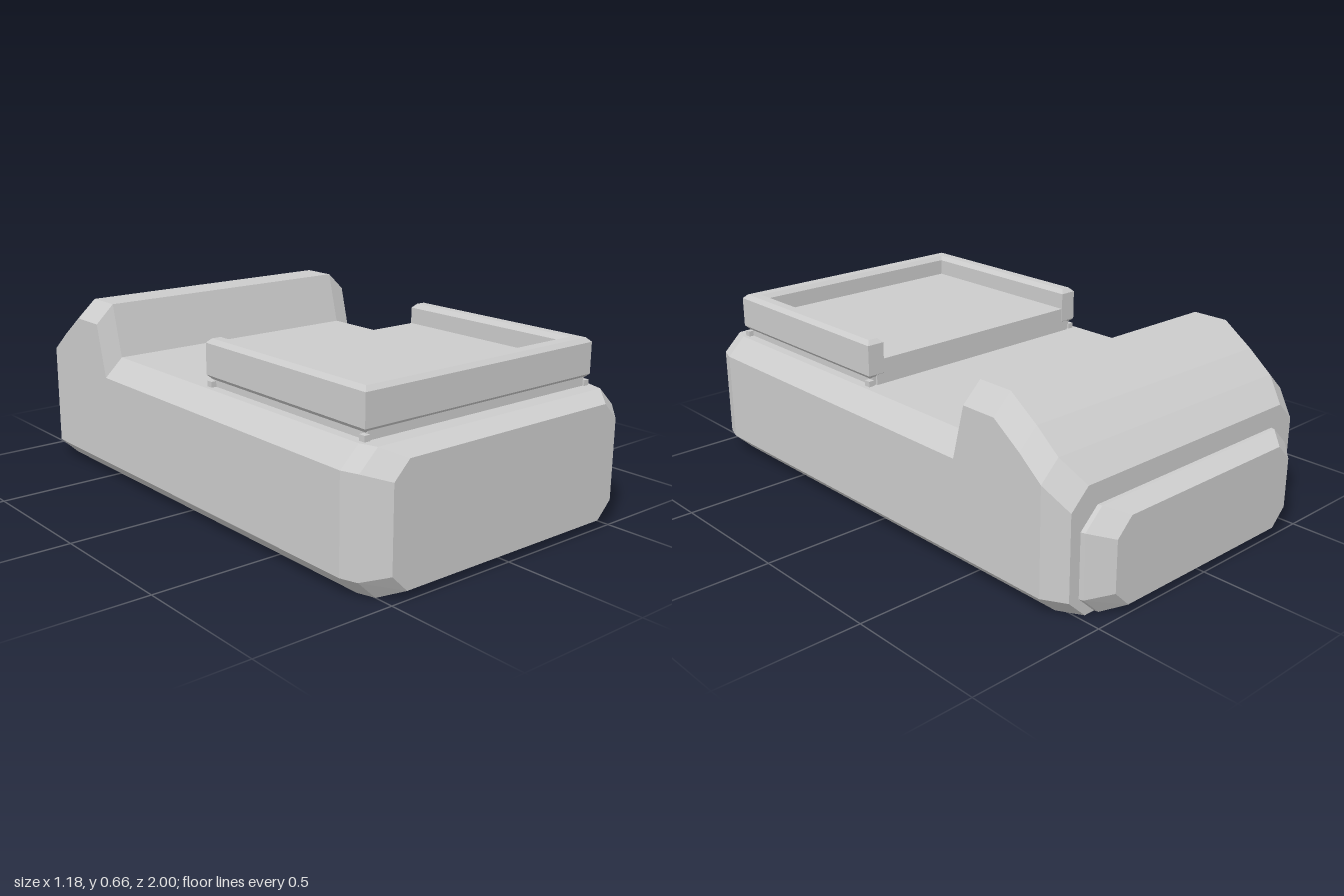
import * as THREE from 'three';

const material = new THREE.MeshStandardMaterial({ color: 0xcccccc, flatShading: true, side: THREE.DoubleSide });

function add(parent, name, geometry) {
  const mesh = new THREE.Mesh(geometry, material);
  mesh.name = name;
  parent.add(mesh);
  return mesh;
}

function box(parent, name, x0, x1, y0, y1, z0, z1) {
  const mesh = add(parent, name, new THREE.BoxGeometry(x1 - x0, y1 - y0, z1 - z0));
  mesh.position.set((x0 + x1) / 2, (y0 + y1) / 2, (z0 + z1) / 2);
  return mesh;
}

// Chamfered-rectangle section: half width, bottom, top, chamfer in x and y
function section({ z, w, y0, y1, cx = 0.07, cy = 0.067 }) {
  return [
    [w, y0 + cy], [w, y1 - cy], [w - cx, y1], [cx - w, y1],
    [-w, y1 - cy], [-w, y0 + cy], [cx - w, y0], [w - cx, y0],
  ].map(([x, y]) => [x, y, z]);
}

// Skin sections running from +z to -z, with flat end caps
function loft(sections) {
  const rings = sections.map(section);
  const pos = [];
  const tri = (...points) => points.forEach((p) => pos.push(...p));
  for (let i = 0; i < rings.length - 1; i++) {
    for (let j = 0; j < 8; j++) {
      const k = (j + 1) % 8;
      const a = rings[i][j], b = rings[i][k], c = rings[i + 1][j], d = rings[i + 1][k];
      tri(a, c, b);
      tri(b, c, d);
    }
  }
  const first = rings[0], last = rings[rings.length - 1];
  for (let j = 1; j < 7; j++) {
    tri(first[0], first[j], first[j + 1]);
    tri(last[0], last[j + 1], last[j]);
  }
  const geometry = new THREE.BufferGeometry();
  geometry.setAttribute('position', new THREE.Float32BufferAttribute(pos, 3));
  geometry.computeVertexNormals();
  return geometry;
}

export function createModel() {
  const model = new THREE.Group();
  model.name = 'chamferedBlockWithTray';

  // Long body with the raised hump at the rear
  add(model, 'body', loft([
    { z: 1, w: 0.5, y0: 0.03, y1: 0.437, cx: 0.06, cy: 0.06 },
    { z: 0.93, w: 0.57, y0: 0, y1: 0.465 },
    { z: 0.87, w: 0.59, y0: 0, y1: 0.465 },
    { z: -0.455, w: 0.59, y0: 0, y1: 0.465 },
    { z: -0.505, w: 0.59, y0: 0, y1: 0.657 },
    { z: -0.64, w: 0.59, y0: 0, y1: 0.657 },
    { z: -0.75, w: 0.59, y0: 0, y1: 0.58 },
    { z: -0.84, w: 0.59, y0: 0, y1: 0.507 },
    { z: -0.92, w: 0.545, y0: 0, y1: 0.43 },
  ]));

  // Smaller bevelled plate on the rear face
  add(model, 'rearPlate', loft([
    { z: -0.915, w: 0.505, y0: 0, y1: 0.357 },
    { z: -0.935, w: 0.5, y0: 0, y1: 0.357 },
    { z: -1, w: 0.43, y0: 0.03, y1: 0.33, cx: 0.06, cy: 0.06 },
  ]));

  // Tray: bevelled U-shaped rim, open toward the rear
  const tray = new THREE.Group();
  tray.name = 'tray';
  model.add(tray);
  const outline = [
    [-0.505, 0.08], [-0.505, 0.88], [0.505, 0.88], [0.505, 0.08],
    [0.44, 0.08], [0.44, 0.81], [-0.44, 0.81], [-0.44, 0.08],
  ];
  const rimShape = new THREE.Shape(outline.map(([x, z]) => new THREE.Vector2(x, -z)));
  const rim = new THREE.ExtrudeGeometry(rimShape, {
    depth: 0.11, bevelEnabled: true, bevelThickness: 0.015, bevelSize: 0.015,
    bevelOffset: -0.015, bevelSegments: 1,
  });
  rim.rotateX(-Math.PI / 2);
  add(tray, 'trayRim', rim).position.y = 0.505;
  box(tray, 'trayFloor', -0.47, 0.47, 0.46, 0.555, 0.082, 0.84);

  // Narrower base under the rim, with a small foot at each corner
  box(tray, 'trayBase', -0.485, 0.485, 0.46, 0.51, 0.09, 0.87);
  for (const side of [-1, 1]) {
    for (const z of [0.095, 0.865]) {
      const x = side * 0.493;
      box(tray, 'trayFoot', x - 0.011, x + 0.011, 0.46, 0.485, z - 0.012, z + 0.012);
    }
  }
  return model;
}
